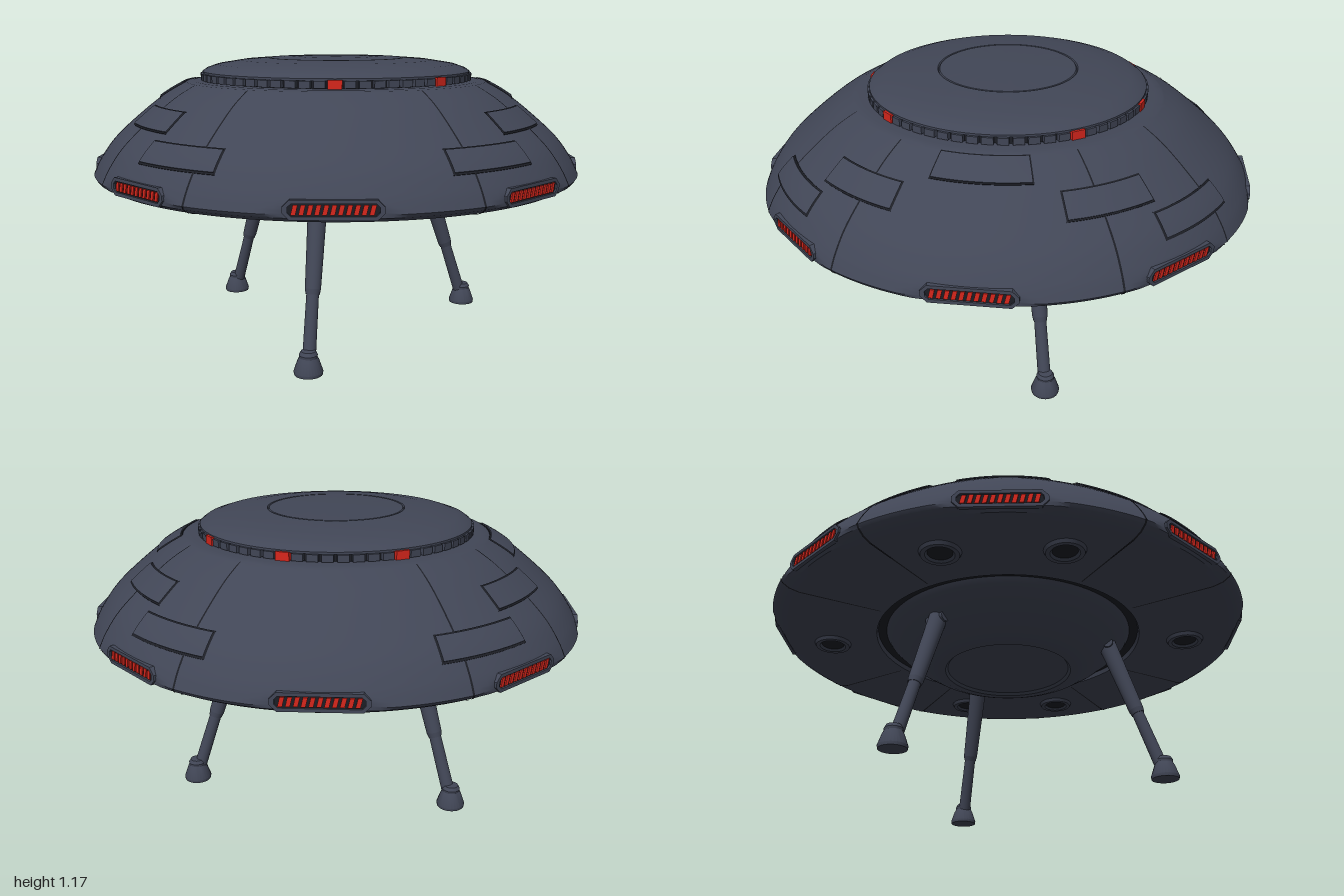
import * as THREE from 'three';
import { toCreasedNormals } from 'three/addons/utils/BufferGeometryUtils.js';

const mat = (name, color, side = THREE.FrontSide) => {
  const m = new THREE.MeshStandardMaterial({ color, side });
  m.name = name;
  return m;
};
const RAD = Math.PI / 180;
const VENT_R = 0.992;

export function createModel() {
  const root = new THREE.Group();
  root.name = 'saucer';
  const hullMat = mat('slate hull', 0x414656);
  const plateMat = mat('slate plate', 0x414656, THREE.DoubleSide);
  plateMat.color = hullMat.color.clone();
  const seamMat = mat('dark seam', 0x1c1e25, THREE.DoubleSide);
  const redMat = mat('red light', 0xd8261c);

  const add = (parent, name, geo, material) => {
    const mesh = new THREE.Mesh(geo, material);
    mesh.name = name;
    parent.add(mesh);
    return mesh;
  };
  const group = (name, parent = root) => {
    const g = new THREE.Group();
    g.name = name;
    parent.add(g);
    return g;
  };
  const vecs = (pts) => pts.map(([x, y]) => new THREE.Vector2(x, y));
  // Profiles run from the bottom outward and up, so faces point outward
  const lathe = (pts, seg = 96, start = 0, length = Math.PI * 2) =>
    toCreasedNormals(new THREE.LatheGeometry(vecs(pts), seg, start, length), 0.5);

  // Upper hull curve, from the rim up to the deck
  const curve = new THREE.SplineCurve(vecs([
    [1.016, 0.705], [0.985, 0.765], [0.925, 0.845], [0.82, 0.94], [0.72, 1.017], [0.63, 1.068],
  ]));
  const upper = curve.getPoints(36).map((p) => [p.x, p.y]);
  const yAt = (r) => {
    const i = Math.max(1, upper.findIndex((p) => p[0] <= r));
    const [a, b] = [upper[i - 1], upper[i]];
    return a[1] + ((b[1] - a[1]) * (r - a[0])) / (b[0] - a[0]);
  };
  // Point on the upper hull pushed out along its normal
  const lifted = (r, h) => {
    const slope = (yAt(r - 0.004) - yAt(r + 0.004)) / 0.008;
    const n = Math.hypot(slope, 1);
    return [r + (h * slope) / n, yAt(r) + h / n];
  };

  // Main hull, flattened where the eight rim vents sit
  const hullGeo = new THREE.LatheGeometry(vecs([
    [0.57, 0.69], [0.576, 0.67], [0.94, 0.668], [0.98, 0.676], [1.008, 0.692],
    ...upper, [0.6, 1.072], [0.54, 1.072],
  ]), 160);
  const pos = hullGeo.attributes.position;
  for (let i = 0; i < pos.count; i++) {
    const x = pos.getX(i), z = pos.getZ(i);
    const az = Math.atan2(x, z), step = Math.PI / 4;
    const d = Math.hypot(x, z) * Math.cos(az - Math.round(az / step) * step);
    if (d > VENT_R) pos.setXYZ(i, (x * VENT_R) / d, pos.getY(i), (z * VENT_R) / d);
  }
  add(root, 'hull', toCreasedNormals(hullGeo, 0.5), hullMat);

  // Belly bowl with a recessed centre and a groove around it
  add(root, 'belly', lathe([
    [0, 0.532], [0.262, 0.532], [0.272, 0.521], [0.305, 0.522], [0.35, 0.54], [0.42, 0.583],
    [0.48, 0.63], [0.52, 0.668], [0.535, 0.69],
  ]), hullMat);
  add(root, 'bellyGroove', lathe([[0.53, 0.689], [0.575, 0.689]]), seamMat);

  // Dome with a slightly sunken centre disc
  add(root, 'dome', lathe([
    [0.535, 1.1], [0.563, 1.102], [0.563, 1.11], [0.545, 1.123], [0.5, 1.138], [0.4, 1.154],
    [0.285, 1.163], [0.281, 1.157], [0.277, 1.163], [0.15, 1.166], [0, 1.167],
  ]), hullMat);

  // Ring of blocks beneath the dome, a few of them lit
  const ring = group('lightRing');
  add(ring, 'ringBand', lathe([[0.55, 1.068], [0.55, 1.104]]), seamMat);
  const blockGeo = new THREE.BoxGeometry(0.043, 0.027, 0.028);
  const litGeo = new THREE.BoxGeometry(0.054, 0.034, 0.032);
  const lit = [0, 8, 22, 29, 37];
  for (let i = 0; i < 64; i++) {
    const on = lit.includes(i), a = (i / 64) * Math.PI * 2;
    const block = add(ring, on ? 'redLight' : 'ringBlock', on ? litGeo : blockGeo, on ? redMat : hullMat);
    block.position.set(Math.sin(a) * 0.557, 1.088, Math.cos(a) * 0.557);
    block.rotation.y = a;
  }

  // Panel seams over the top, around the rim and under the hull
  const seams = group('panelSeams');
  const seamPath = [[0.6, 0.6675], [0.94, 0.6655], [0.982, 0.674], [1.01, 0.691], [1.018, 0.705]];
  for (let i = 1; i < 40; i++) seamPath.push(lifted(1.014 - (i * 0.382) / 39, 0.002));
  for (const deg of [30, 60, 120, 150, 210, 240, 300, 330]) {
    add(seams, 'seam', lathe(seamPath, 1, deg * RAD - 0.004, 0.008), seamMat);
  }

  // Raised plates on the upper hull, each with a dark outline
  const plates = group('hullPlates');
  const strip = (r0, r1, a0, a1, h) => {
    const pts = [[r1, yAt(r1)]];
    for (let i = 0; i <= 6; i++) pts.push(lifted(r1 + ((r0 - r1) * i) / 6, h));
    pts.push([r0, yAt(r0)]);
    return lathe(pts, 14, a0 * RAD, (a1 - a0) * RAD);
  };
  const plate = (r0, r1, a0, a1) => {
    add(plates, 'plateOutline', strip(r0 - 0.005, r1 + 0.005, a0 - 0.35, a1 + 0.35, 0.003), seamMat);
    add(plates, 'plate', strip(r0, r1, a0, a1, 0.007), plateMat);
  };
  for (const [r0, r1, a0, a1] of [[0.77, 0.85, 46, 69], [0.885, 0.95, 25, 47.5]]) {
    plate(r0, r1, a0, a1);
    plate(r0, r1, 180 - a1, 180 - a0);
    plate(r0, r1, 180 + a0, 180 + a1);
    plate(r0, r1, 360 - a1, 360 - a0);
  }
  plate(0.64, 0.735, 76, 104);
  plate(0.64, 0.735, 256, 284);

  // Rim vents: chamfered frame, dark back and slanted red slats
  const chamfered = (Type, w, h, c) => new Type(vecs([
    [-w, -h + c], [-w + c, -h], [w - c, -h], [w, -h + c], [w, h - c], [w - c, h], [-w + c, h], [-w, h - c],
  ]));
  const frameShape = chamfered(THREE.Shape, 0.167, 0.034, 0.024);
  frameShape.holes.push(chamfered(THREE.Path, 0.15, 0.021, 0.012));
  const frameGeo = new THREE.ExtrudeGeometry(frameShape, { depth: 0.018, bevelEnabled: false });
  const backGeo = new THREE.ShapeGeometry(chamfered(THREE.Shape, 0.155, 0.026, 0.014));
  const slatGeo = new THREE.ExtrudeGeometry(
    new THREE.Shape(vecs([[-0.012, -0.017], [0.004, -0.017], [0.012, 0.017], [-0.004, 0.017]])),
    { depth: 0.006, bevelEnabled: false },
  );
  for (let k = 0; k < 8; k++) {
    const vent = group('rimVent');
    vent.rotation.y = (k * Math.PI) / 4;
    add(vent, 'ventFrame', frameGeo, hullMat).position.set(0, 0.72, VENT_R - 0.01);
    add(vent, 'ventBack', backGeo, seamMat).position.set(0, 0.72, VENT_R + 0.001);
    for (let i = -5; i <= 5; i++) {
      add(vent, 'ventSlat', slatGeo, redMat).position.set(i * 0.0255, 0.72, VENT_R);
    }
  }

  // Round ports under the hull
  const portGeo = lathe([[0.046, 0.667], [0.056, 0.655], [0.073, 0.655], [0.08, 0.669]], 32);
  const portWell = lathe([[0, 0.6645], [0.054, 0.6645]], 32);
  for (const deg of [0, 73, 107, 180, 253, 287]) {
    const port = group('undersidePort');
    port.position.set(Math.sin(deg * RAD) * 0.78, 0, Math.cos(deg * RAD) * 0.78);
    add(port, 'portRim', portGeo, hullMat);
    add(port, 'portWell', portWell, seamMat);
  }

  // Three splayed telescopic legs with cone feet
  const tube = (parent, name, from, to, r0, r1) => {
    const dir = to.clone().sub(from);
    const mesh = add(parent, name, new THREE.CylinderGeometry(r1, r0, dir.length(), 24), hullMat);
    mesh.position.copy(from).addScaledVector(dir, 0.5);
    mesh.quaternion.setFromUnitVectors(new THREE.Vector3(0, 1, 0), dir.normalize());
  };
  const onLeg = (y) => new THREE.Vector3(0, y, 0.645 - (y / 0.6) * 0.205);
  const footGeo = lathe([
    [0, 0], [0.055, 0], [0.057, 0.012], [0.042, 0.055], [0.035, 0.068], [0.036, 0.078], [0.028, 0.092], [0, 0.095],
  ], 28);
  for (const deg of [-9, 111, 231]) {
    const leg = group('landingLeg');
    leg.rotation.y = deg * RAD;
    add(leg, 'foot', footGeo, hullMat).position.z = 0.638;
    tube(leg, 'lowerLeg', onLeg(0.06), onLeg(0.32), 0.026, 0.024);
    tube(leg, 'legCollar', onLeg(0.285), onLeg(0.305), 0.027, 0.031);
    tube(leg, 'upperLeg', onLeg(0.305), onLeg(0.61), 0.031, 0.038);
    tube(leg, 'hipPivot', new THREE.Vector3(-0.046, 0.605, 0.44), new THREE.Vector3(0.046, 0.605, 0.44), 0.022, 0.022);
  }
  return root;
}
